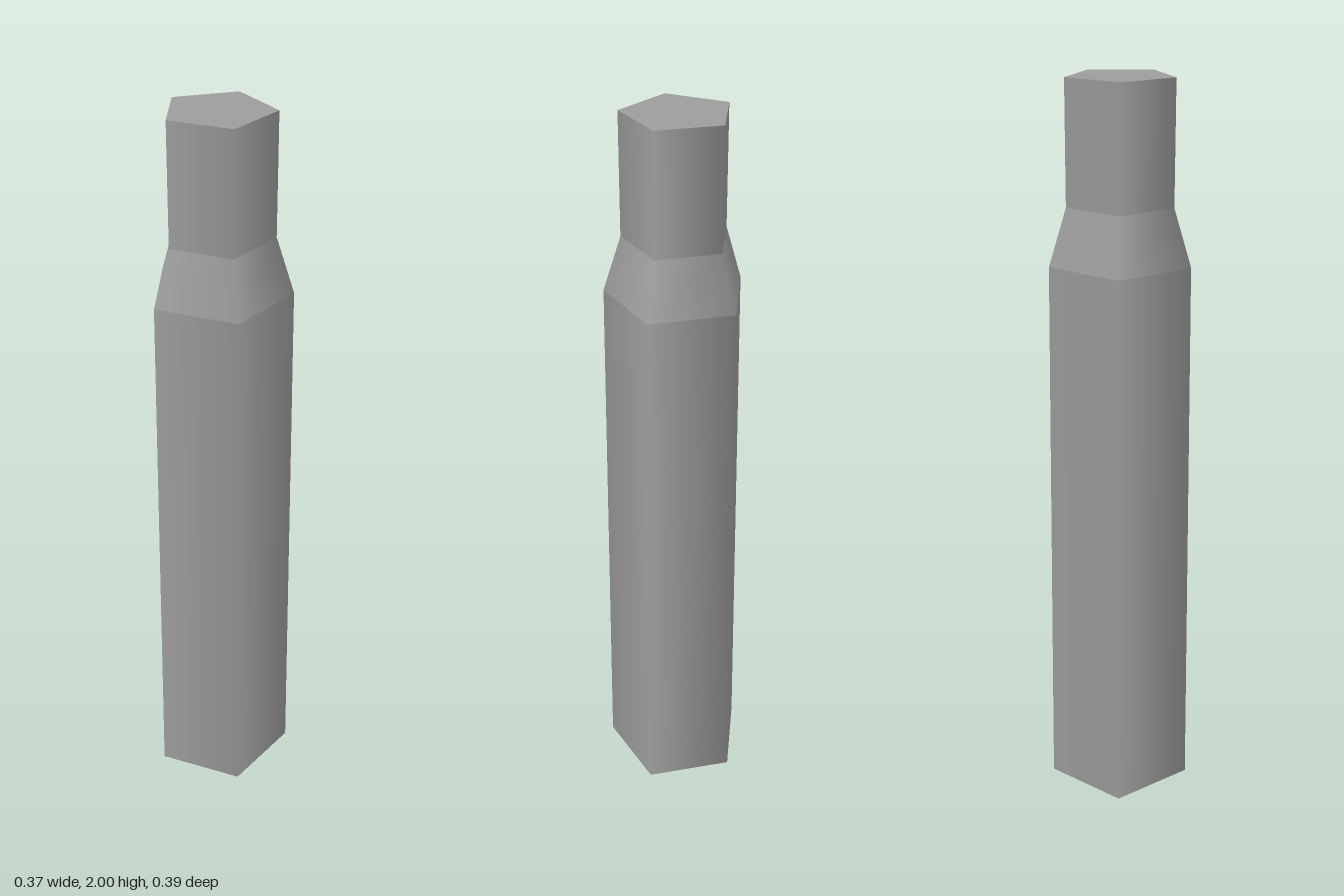
import * as THREE from 'three';

const SIDES = 5;
const CENTRE_X = -0.02; // puts the pentagon's bounding box on the axis

export function createModel() {
  const group = new THREE.Group();
  group.name = 'steppedPost';
  const material = new THREE.MeshStandardMaterial({ color: 0x9d9d9d });

  const add = (name, geometry, y) => {
    const mesh = new THREE.Mesh(geometry, material);
    mesh.name = name;
    mesh.position.set(CENTRE_X, y, 0);
    group.add(mesh);
  };

  // Open five-sided bands, smooth around and creased where they meet
  const bands = [
    { name: 'body', y0: 0, y1: 1.53, r0: 0.205, r1: 0.191 },
    { name: 'shoulder', y0: 1.53, y1: 1.68, r0: 0.191, r1: 0.144 },
    { name: 'neck', y0: 1.68, y1: 2, r0: 0.144, r1: 0.144 },
  ];
  for (const { name, y0, y1, r0, r1 } of bands) {
    const geometry = new THREE.CylinderGeometry(r1, r0, y1 - y0, SIDES, 1, true, Math.PI / 2);
    add(name, geometry, (y0 + y1) / 2);
  }

  // Flat ends, one corner pointing to +x
  add('topCap', new THREE.CircleGeometry(0.144, SIDES).rotateX(-Math.PI / 2), 2);
  add('bottomCap', new THREE.CircleGeometry(0.205, SIDES).rotateX(Math.PI / 2), 0);

  return group;
}
